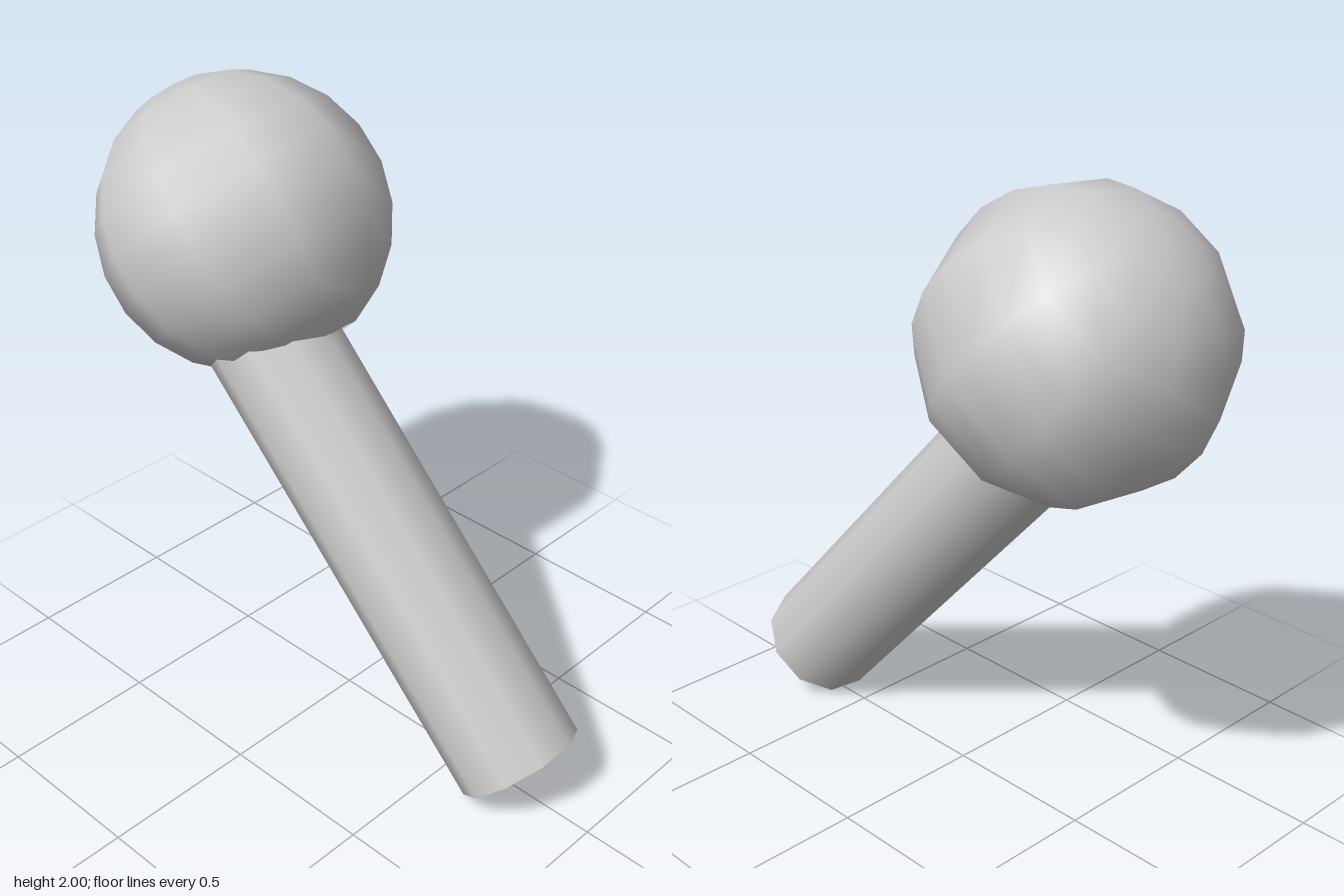
import * as THREE from 'three';

export function createModel() {
  const group = new THREE.Group();
  const material = new THREE.MeshStandardMaterial({ color: 0xcccccc, side: THREE.DoubleSide });

  // Shared tilt: local y runs up the shaft, local x points almost straight forward
  const up = new THREE.Vector3(-0.669, 0.742, 0.037).normalize();
  const side = new THREE.Vector3(-0.04, -0.085, 1);
  side.addScaledVector(up, -side.dot(up)).normalize();
  const third = new THREE.Vector3().crossVectors(side, up);
  const tilt = new THREE.Matrix4().makeBasis(side, up, third);

  const addPart = (name, geometry, position) => {
    const mesh = new THREE.Mesh(geometry, material);
    mesh.name = name;
    mesh.quaternion.setFromRotationMatrix(tilt);
    mesh.position.copy(position);
    group.add(mesh);
  };

  // Ball head, open at the small cap where the shaft enters
  const ball = new THREE.SphereGeometry(0.457, 10, 10, 0, Math.PI * 2, 0, Math.PI * 0.9);
  addPart('ballHead', ball, new THREE.Vector3(-0.45, 1.553, 0));

  // Open tube, slightly off the ball's axis, with its top hidden inside the ball
  const length = 1.55;
  const shaft = new THREE.CylinderGeometry(0.201, 0.201, length, 10, 1, true, Math.PI / 2);
  const foot = new THREE.Vector3(0.747, 0.136, 0.02);
  addPart('shaft', shaft, foot.addScaledVector(up, length / 2));

  return group;
}
